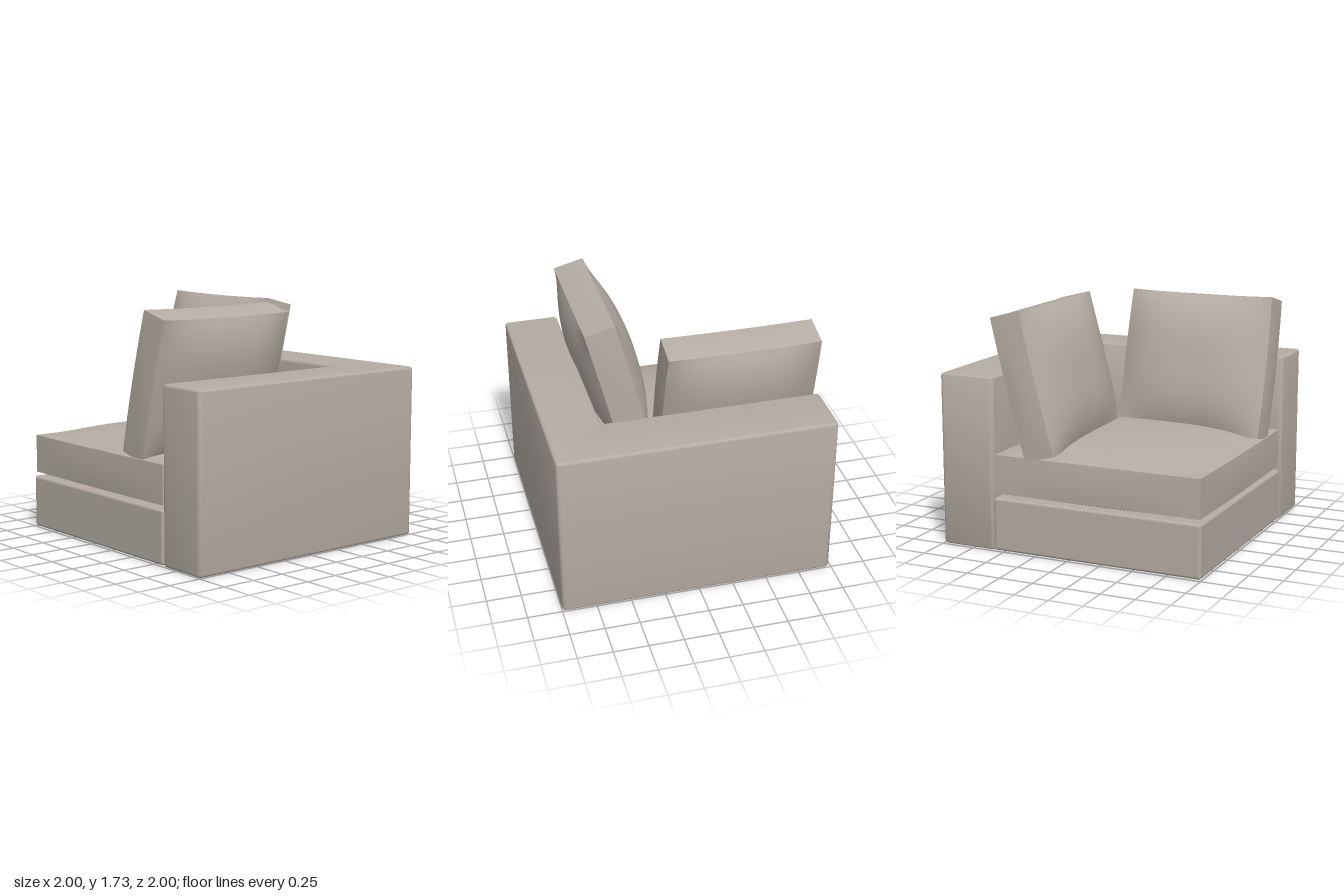
import * as THREE from 'three';
import { toCreasedNormals } from 'three/addons/utils/BufferGeometryUtils.js';
import { RoundedBoxGeometry } from 'three/addons/geometries/RoundedBoxGeometry.js';

const fabric = new THREE.MeshStandardMaterial({ color: 0xb5ada4 });
fabric.name = 'warm grey fabric';

function add(group, name, geometry) {
  const mesh = new THREE.Mesh(geometry, fabric);
  mesh.name = name;
  group.add(mesh);
  return mesh;
}

// Stuffed cushion: a box whose broad faces swell and whose rims bow slightly
function cushionGeometry(width, height, depth, swell, bow, dip) {
  const g = new THREE.BoxGeometry(2, 2, 2, 24, 24, 6);
  const p = g.attributes.position;
  for (let i = 0; i < p.count; i++) {
    const u = p.getX(i), v = p.getY(i), w = p.getZ(i);
    const puff = (1 - Math.abs(u) ** 3) * (1 - Math.abs(v) ** 3);
    const rim = 1 - w * w;
    p.setXYZ(i,
      u * (width / 2 + bow * (1 - v * v) * (0.5 + rim / 2)),
      v * (height / 2 - dip * (1 - u * u) + bow * 0.5 * rim * (1 - u * u)),
      w * (depth / 2 + swell * puff));
  }
  g.computeVertexNormals();
  return g;
}

// L-shaped plan with small rounded outer corners, extruded upwards
function wallGeometry() {
  const b = 0.02, r = 0.012, height = 1.25;
  const plan = [[-1, -1], [1, -1], [1, 0.985], [0.58, 0.985], [0.58, -0.6], [-1, -0.6]];
  const inset = [[1, 1], [-1, 1], [-1, -1], [1, -1], [1, -1], [1, -1]];
  const pts = plan.map(([x, y], i) => new THREE.Vector2(x + inset[i][0] * b, y + inset[i][1] * b));
  const shape = new THREE.Shape();
  pts.forEach((c, i) => {
    const before = pts[(i + 5) % 6], after = pts[(i + 1) % 6];
    const a = c.clone().add(before.clone().sub(c).setLength(r));
    const d = c.clone().add(after.clone().sub(c).setLength(r));
    if (i === 0) shape.moveTo(a.x, a.y);
    else shape.lineTo(a.x, a.y);
    shape.quadraticCurveTo(c.x, c.y, d.x, d.y);
  });
  shape.closePath();
  const g = new THREE.ExtrudeGeometry(shape, {
    depth: height - 2 * b, bevelSize: b, bevelThickness: b, bevelSegments: 4, curveSegments: 4,
  });
  g.rotateX(-Math.PI / 2);
  g.translate(0, b, 0);
  return toCreasedNormals(g, 0.7);
}

export function createModel() {
  const sofa = new THREE.Group();
  sofa.name = 'cornerSofa';

  add(sofa, 'cornerBackrest', wallGeometry());

  // Seat platform and its cushion
  add(sofa, 'seatBase', new RoundedBoxGeometry(1.575, 0.385, 1.59, 4, 0.02))
    .position.set(-0.21, 0.1975, -0.2);
  const seat = add(sofa, 'seatCushion', cushionGeometry(1.55, 1.56, 0.28, 0.1, 0.015, 0));
  seat.rotation.x = -Math.PI / 2;
  seat.position.set(-0.21, 0.56, -0.2);

  // Two loose cushions, each leaning on one arm of the backrest
  const loose = cushionGeometry(1.1, 1.03, 0.23, 0.115, 0.02, 0.008);
  [
    ['frontBackCushion', -0.43, 0.365, 0],
    ['leftBackCushion', 0.345, -0.43, Math.PI / 2],
  ].forEach(([name, x, z, turn]) => {
    const cushion = add(sofa, name, loose);
    cushion.rotation.set(0.253, turn, 0, 'YXZ');
    cushion.position.set(x, 1.2, z);
  });

  return sofa;
}
